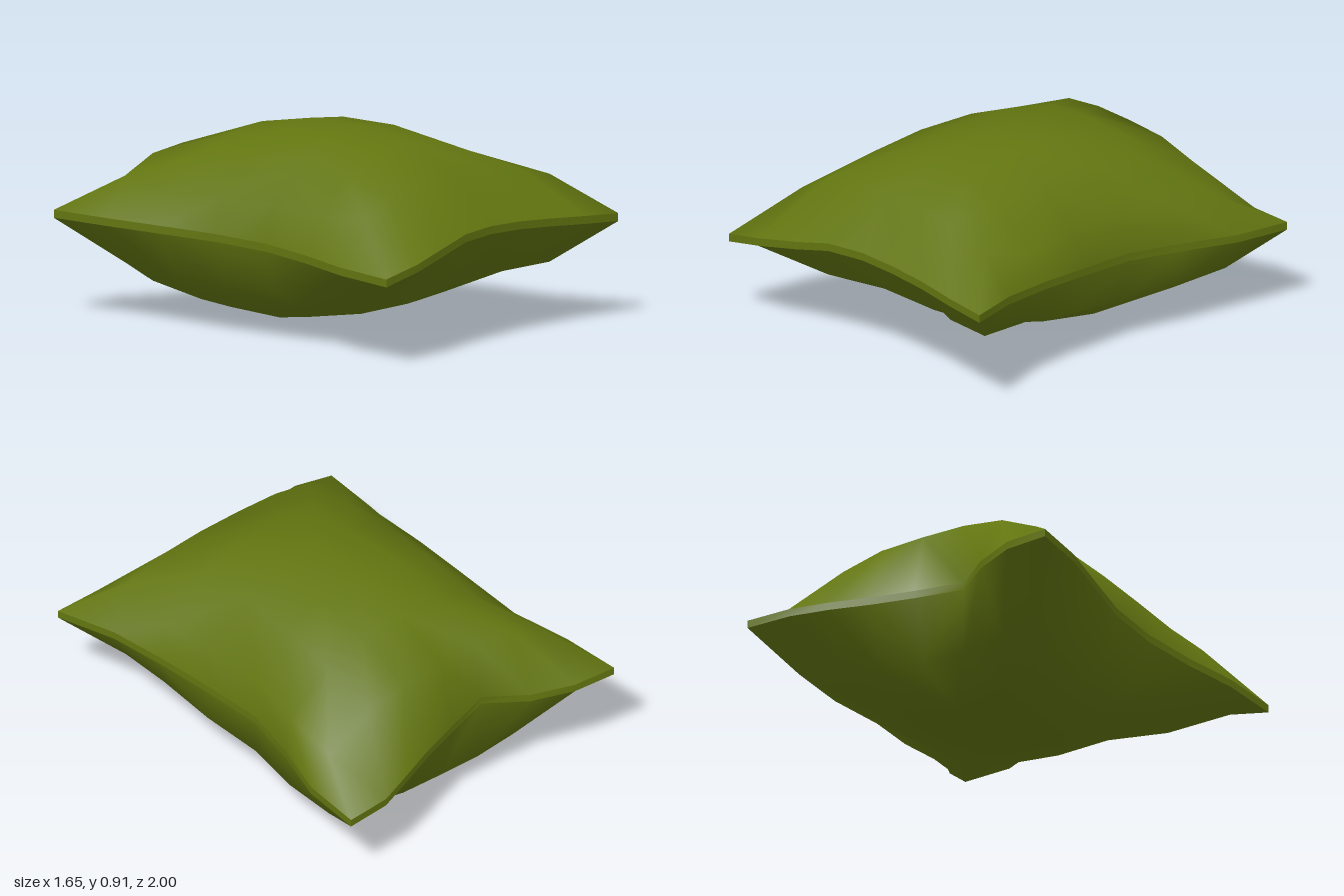
import * as THREE from 'three';

// Seam outline as [x, y, z]: back and front run left to right, the sides run back to front
const BACK = [[-0.83, 0.48, -0.975], [-0.62, 0.475, -0.955], [-0.43, 0.46, -0.87], [-0.26, 0.45, -0.735],
  [-0.04, 0.435, -0.8], [0.15, 0.425, -0.86], [0.33, 0.415, -0.93], [0.5, 0.4, -0.99], [0.71, 0.39, -1]];
const FRONT = [[-0.805, 0.4, 0.99], [-0.6, 0.44, 0.995], [-0.4, 0.47, 0.95], [-0.2, 0.515, 0.93],
  [0, 0.52, 0.9], [0.2, 0.515, 0.9], [0.4, 0.5, 0.9], [0.61, 0.485, 0.92], [0.825, 0.47, 0.93]];
const MINUS_X = [[-0.805, 0.475, -0.68], [-0.75, 0.465, -0.41], [-0.695, 0.455, -0.13],
  [-0.685, 0.445, 0.16], [-0.725, 0.43, 0.44], [-0.785, 0.415, 0.7]];
const PLUS_X = [[0.705, 0.4, -0.71], [0.63, 0.405, -0.44], [0.585, 0.415, -0.17],
  [0.62, 0.43, 0.12], [0.67, 0.45, 0.4], [0.72, 0.46, 0.66]];

// Inner grid lines
const COLS = [-0.63, -0.45, -0.25, -0.04, 0.18, 0.38, 0.61];
const ROWS = [-0.72, -0.43, -0.14, 0.16, 0.44, 0.71];
// Middle rows swell by column and row; the creased end rows give their heights outright
const SWELL = {
  1: {
    mid: 0.45, depth: 0.46, cols: [0.4, 0.78, 0.945, 1, 0.945, 0.77, 0.35], rows: [0.89, 1, 1, 0.91],
    back: [0.66, 0.735, 0.755, 0.75, 0.735, 0.68, 0.56],
    front: [0.62, 0.72, 0.755, 0.76, 0.755, 0.735, 0.67],
  },
  [-1]: {
    mid: 0.44, depth: 0.435, cols: [0.5, 0.79, 0.94, 1, 0.94, 0.8, 0.54], rows: [0.97, 1, 0.885, 0.7],
    back: [0.26, 0.155, 0.13, 0.13, 0.135, 0.17, 0.23],
    front: [0.31, 0.255, 0.3, 0.305, 0.36, 0.28, 0.27],
  },
};
const NX = 8, NZ = 7, HALF_SEAM = 0.018;

function seamPoint(i, j) {
  if (j === 0) return BACK[i];
  if (j === NZ) return FRONT[i];
  return i === 0 ? MINUS_X[j - 1] : PLUS_X[j - 1];
}

function swellHeight(i, j, side) {
  const s = SWELL[side];
  if (j === 1) return s.back[i - 1];
  if (j === NZ - 1) return s.front[i - 1];
  return s.mid + side * s.depth * s.cols[i - 1] * s.rows[j - 2];
}

function gridPoint(i, j, side) {
  if (i === 0 || i === NX || j === 0 || j === NZ) {
    const [x, y, z] = seamPoint(i, j);
    return [x, y + side * HALF_SEAM, z];
  }
  // Keep the puffed cloth inside the waisted seam
  const x = THREE.MathUtils.clamp(COLS[i - 1], MINUS_X[j - 1][0] + 0.05, PLUS_X[j - 1][0] - 0.03);
  return [x, swellHeight(i, j, side), ROWS[j - 1]];
}

function meshFrom(name, points, index, material) {
  const geometry = new THREE.BufferGeometry();
  geometry.setAttribute('position', new THREE.Float32BufferAttribute(points.flat(), 3));
  geometry.setIndex(index);
  geometry.computeVertexNormals();
  const mesh = new THREE.Mesh(geometry, material);
  mesh.name = name;
  return mesh;
}

// One puffed sheet of cloth; side is 1 for the top and -1 for the bottom
function cover(name, side, material) {
  const points = [], index = [];
  for (let j = 0; j <= NZ; j++) for (let i = 0; i <= NX; i++) points.push(gridPoint(i, j, side));
  for (let j = 0; j < NZ; j++) for (let i = 0; i < NX; i++) {
    const a = j * (NX + 1) + i, b = a + NX + 1, c = b + 1, d = a + 1;
    // Diagonals run out towards the nearest corner
    const outward = (i < NX / 2) === (j < NZ / 2);
    const faces = outward ? [a, b, c, a, c, d] : [a, b, d, b, c, d];
    index.push(...(side > 0 ? faces : faces.reverse()));
  }
  return meshFrom(name, points, index, material);
}

// A narrow band along one edge of the seam
function seamBand(name, edge, material) {
  const points = [], index = [];
  edge.forEach(([x, y, z], k) => {
    points.push([x, y + HALF_SEAM, z], [x, y - HALF_SEAM, z]);
    if (k > 0) {
      const a = 2 * k - 2;
      index.push(a, a + 1, a + 2, a + 1, a + 3, a + 2);
    }
  });
  return meshFrom(name, points, index, material);
}

export function createModel() {
  const group = new THREE.Group();
  group.name = 'pillow';
  const cloth = new THREE.MeshStandardMaterial({ color: 0x627510 });

  group.add(cover('topCover', 1, cloth), cover('bottomCover', -1, cloth));

  // Edges run counter-clockwise seen from above, so the bands face outward
  group.add(
    seamBand('frontSeam', FRONT, cloth),
    seamBand('leftSeam', [BACK[NX], ...PLUS_X, FRONT[NX]].reverse(), cloth),
    seamBand('backSeam', [...BACK].reverse(), cloth),
    seamBand('rightSeam', [BACK[0], ...MINUS_X, FRONT[0]], cloth),
  );
  return group;
}
